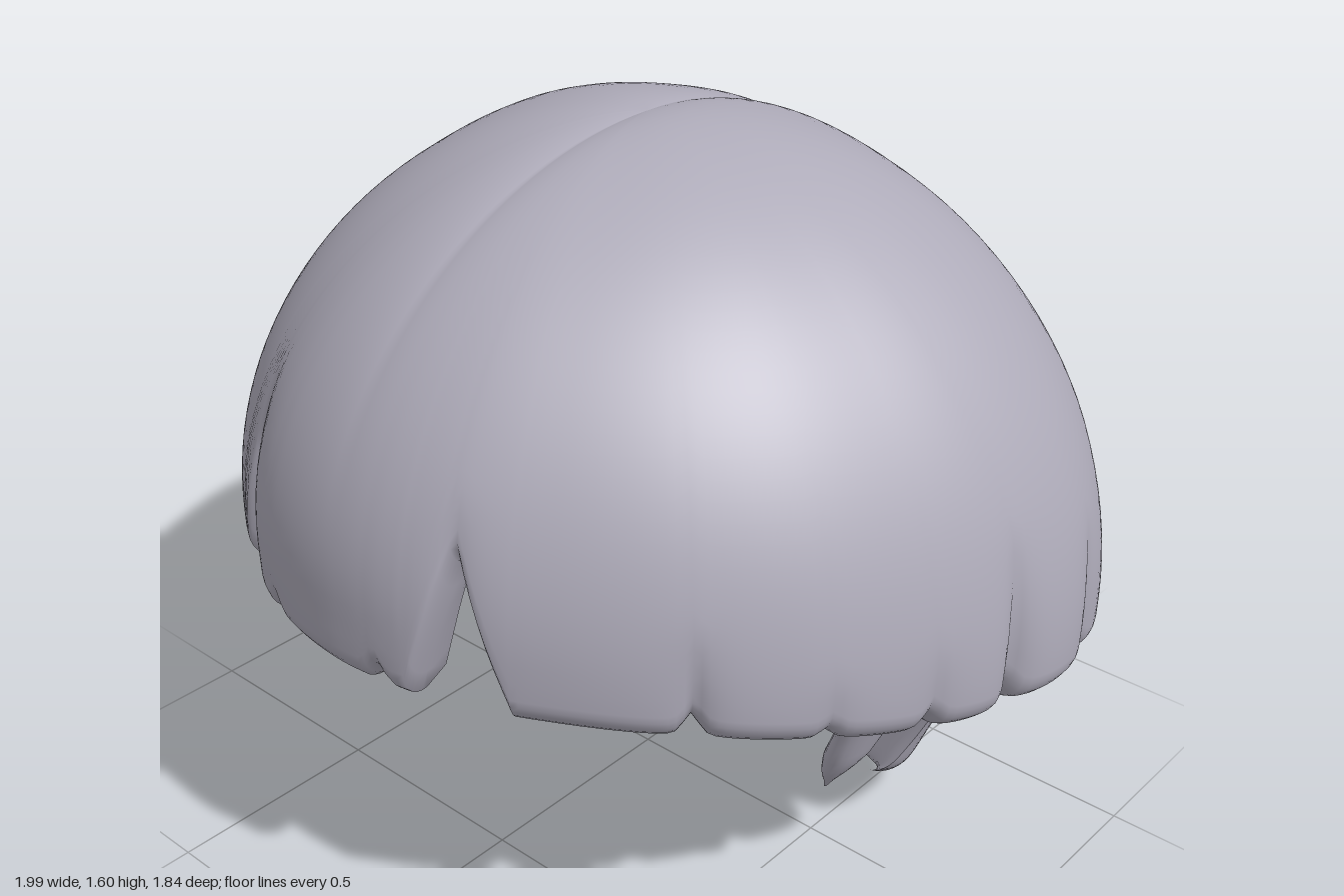
import * as THREE from 'three';

const RAD = Math.PI / 180;
const TOP = 1.615;

// Smooth lookup in an evenly spaced table, t from 0 to 1
function table(values) {
  const curve = new THREE.SplineCurve(values.map((v, i) => new THREE.Vector2(i, v)));
  return (t) => curve.getPoint(Math.min(1, Math.max(0, t))).y;
}

// Grid surface from rows (downward) and columns (to the right, seen from outside)
function grid(rows, cols, closed, point) {
  const pos = [], index = [];
  const n = closed ? cols : cols + 1;
  for (let i = 0; i <= rows; i++) {
    for (let j = 0; j < n; j++) pos.push(...point(i, j / cols));
  }
  for (let i = 0; i < rows; i++) {
    for (let j = 0; j < cols; j++) {
      const k = (j + 1) % n;
      const a = i * n + j, b = i * n + k, c = a + n, d = b + n;
      index.push(a, c, b, b, c, d);
    }
  }
  const g = new THREE.BufferGeometry();
  g.setAttribute('position', new THREE.Float32BufferAttribute(pos, 3));
  g.setIndex(index);
  g.computeVertexNormals();
  return g;
}

// Tables run from the front (0) to the back (1) of the head
const radius = table([0.915, 0.91, 0.895, 0.9, 0.915, 0.935, 0.98, 1.02, 1.01, 0.975, 0.94, 0.93, 0.925]);
const widest = table([0.86, 0.75, 0.61, 0.64, 0.7]);
const rimHeight = table([0.68, 0.68, 0.675, 0.66, 0.63, 0.585, 0.55, 0.525, 0.5, 0.49, 0.48, 0.48, 0.48]);

// Gaps between locks: angle, width to each side, rise of the rim, groove depth, groove height
const notches = [
  [-25.5, 6.5, 3.5, 0.32, 0.06, 0.5],
  [17.5, 6.5, 7.5, 0.32, 0.06, 0.45],
  [-14.5, 2, 2, 0.05, 0.02, 0.1],
  [6.5, 2, 2, 0.05, 0.02, 0.1],
  [180, 2.5, 2.5, 0.04, 0.035, 0.5],
];
for (const s of [-1, 1]) {
  for (const [a, rise, groove, h] of [
    [47, 0.04, 0.04, 0.25], [64, 0.02, 0.02, 0.15], [78, 0.03, 0.025, 0.2], [91, 0.05, 0.07, 0.4],
    [107, 0.03, 0.045, 0.35], [125, 0.05, 0.06, 0.48], [140, 0.03, 0.045, 0.33],
    [153, 0.03, 0.035, 0.28], [166, 0.03, 0.03, 0.25]]) {
    notches.push([s * a, 2.2, 2.2, rise, groove, h]);
  }
}

function angleDiff(a, b) {
  return ((a - b + 540) % 360) - 180;
}

function rimAt(deg) {
  let rise = 0;
  for (const [a, wl, wr, up] of notches) {
    const d = angleDiff(deg, a);
    rise = Math.max(rise, up * Math.max(0, 1 - Math.abs(d) / (d < 0 ? wl : wr)));
  }
  return rimHeight(Math.abs(deg) / 180) + rise;
}

// Radius of the outer dome at an angle and height
function domeRadius(deg, y) {
  const t = Math.abs(deg) / 180;
  const c = widest(t);
  const k = Math.max(0, (y - c) / (TOP - c));
  let r = radius(t) * Math.sqrt(Math.max(0, 1 - k * k));
  const base = rimHeight(t);
  for (const [a, , , , depth, h] of notches) {
    const fade = Math.min(1, Math.max(0, 1 - (y - base) / h));
    r -= depth * fade * Math.exp(-Math.abs(angleDiff(deg, a)) / 2);
  }
  return Math.max(r, 0);
}

// Bowl-shaped hair: outer dome, rounded rim and inner lining in one skin
function bowlGeometry() {
  const outer = 36, round = 7, inner = 22, curl = 0.07;
  return grid(outer + round + inner, 360, true, (i, u) => {
    const deg = u * 360 - 180;
    const rim = rimAt(deg);
    const edge = rim + curl;
    let y, r;
    if (i <= outer) {
      const level = TOP - (TOP - edge) * (1 - Math.cos((i / outer) * Math.PI / 2));
      r = domeRadius(deg, level);
      // Faint parting over the crown
      const fade = Math.max(0, 1 - i / outer) ** 0.5;
      y = level - 0.015 * fade * Math.exp(-Math.abs(r * Math.sin(deg * RAD)) / 0.05);
    } else if (i <= outer + round) {
      const e = ((i - outer) / round) * Math.PI / 2;
      y = edge - curl * Math.sin(e);
      r = domeRadius(deg, edge) - curl * (1 - Math.cos(e));
    } else {
      const s = (i - outer - round - 1) / (inner - 1);
      const t = Math.abs(deg) / 180, c = widest(t), lidTop = TOP - 0.13;
      const start = rim + 0.015;
      y = start + (lidTop - start) * Math.sin(s * Math.PI / 2);
      const k = Math.max(0, (y - c) / (lidTop - c));
      r = radius(t) * 0.85 * Math.sqrt(Math.max(0, 1 - k * k));
    }
    return [r * Math.sin(deg * RAD), y, r * Math.cos(deg * RAD)];
  });
}

// Nape section, outer face down, under the tip and up the inner face;
// its wide top reaches forward over the ears to the sideburns
const nape = [
  // y, half width, depth behind centre, half sweep in degrees
  [0.8, 0.85, 0.72, 118], [0.62, 0.83, 0.69, 108], [0.49, 0.79, 0.64, 83], [0.3, 0.72, 0.575, 83],
  [0.15, 0.675, 0.48, 87], [0.05, 0.64, 0.38, 92],
  [0.0, 0.59, 0.29, 93],
  [0.04, 0.57, 0.23, 92], [0.14, 0.6, 0.37, 87],
  [0.3, 0.66, 0.48, 83], [0.49, 0.71, 0.56, 83], [0.62, 0.76, 0.62, 108], [0.8, 0.83, 0.69, 118],
];

function napeGeometry() {
  const col = [0, 1, 2, 3].map((k) => table(nape.map((p) => p[k])));
  const rows = 60;
  return grid(rows, 100, false, (i, u) => {
    const v = i / rows;
    const s = u * 2 - 1;
    // The inner face closes onto the outer one at the front edges
    const pinch = v > 0.5 ? Math.pow(Math.abs(s), 12) : 0;
    const get = (k) => THREE.MathUtils.lerp(col[k](v), col[k](1 - v), pinch);
    const phi = s * get(3) * RAD;
    const x = -get(1) * Math.sin(phi);
    const tip = Math.max(0, 1 - get(0) / 0.5);
    let y = get(0) + 0.17 * Math.pow(Math.abs(s), 2.1) * tip;
    // Shallow partings along the lower edge
    for (const [px, h] of [[0, 0.035], [-0.33, 0.03], [0.33, 0.03]]) {
      y += h * tip ** 4 * Math.exp(-Math.abs(x - px) / 0.04);
    }
    return [x, y, -0.1 - get(2) * Math.cos(phi)];
  });
}

// Pointed lock in front of the ear
function sideburnGeometry(side) {
  const width = table([0.17, 0.145, 0.11, 0.08, 0.045, 0.005]);
  const rows = 15;
  return grid(rows, 24, true, (i, u) => {
    const v = i / rows, a = u * Math.PI * 2;
    const w = width(v);
    return [
      side * (0.81 - 0.13 * v) + Math.sin(a) * Math.min(0.04, w * 0.6),
      0.68 - 0.33 * v,
      0.15 + 0.06 * Math.min(1, v * 1.2) + Math.cos(a) * w,
    ];
  });
}

export function createModel() {
  const model = new THREE.Group();
  model.name = 'bowlCutHair';
  const hair = new THREE.MeshStandardMaterial({ color: 0xaeabb9, side: THREE.DoubleSide });
  hair.name = 'greyHair';
  const add = (name, geometry) => {
    const mesh = new THREE.Mesh(geometry, hair);
    mesh.name = name;
    model.add(mesh);
  };
  add('bowlOfHair', bowlGeometry());
  add('napeHair', napeGeometry());
  add('leftSideburn', sideburnGeometry(1));
  add('rightSideburn', sideburnGeometry(-1));
  return model;
}
